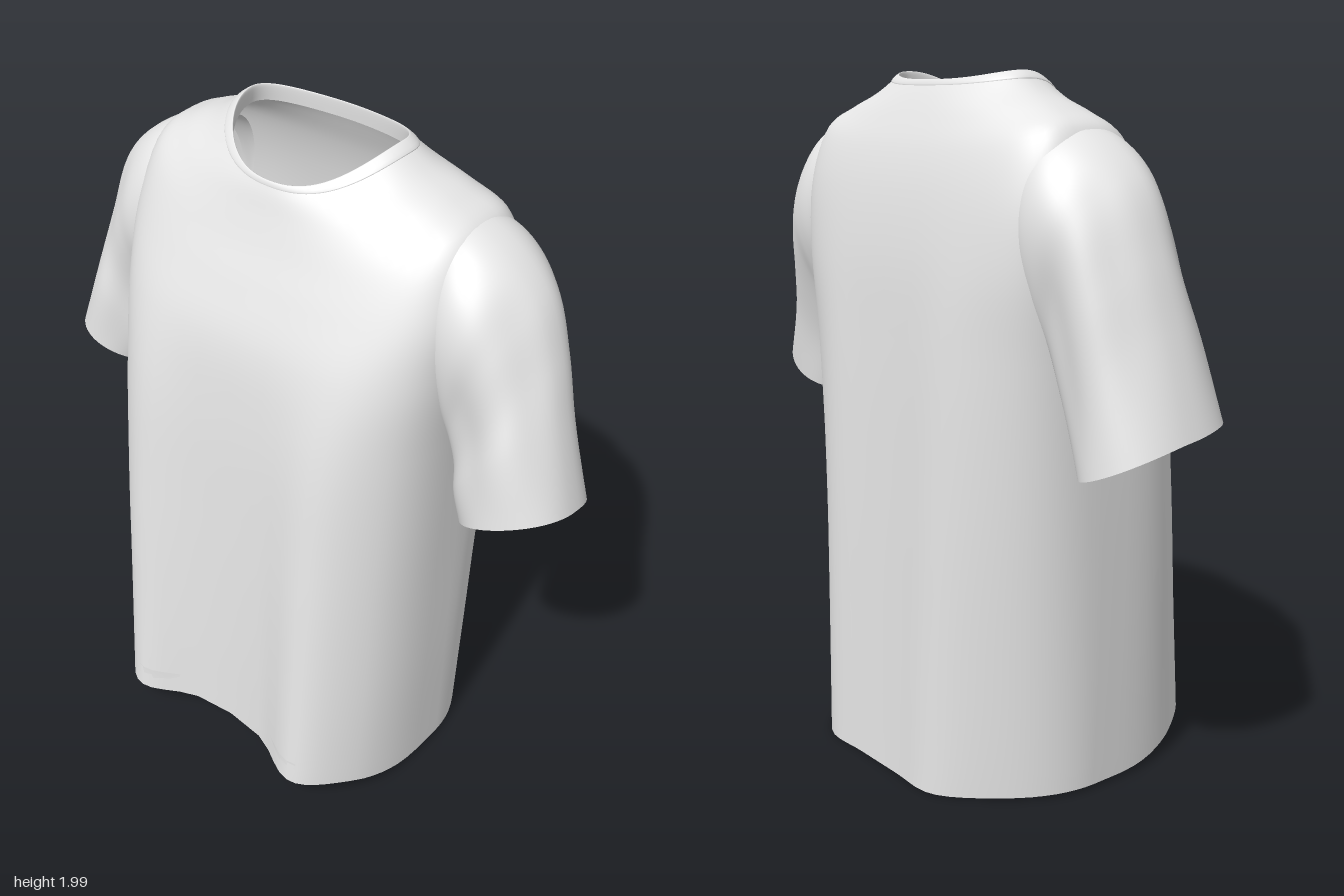
import * as THREE from 'three';

const COLUMNS = 80;
const fabric = new THREE.MeshStandardMaterial({ color: 0xe6e6e6, side: THREE.DoubleSide });
fabric.name = 'light grey fabric';

const signedPow = (v, e) => Math.sign(v) * Math.pow(Math.abs(v), e);
const bump = (v, centre, width) => Math.exp(-(((v - centre) / width) ** 2));

// A closed ring of points, from a rule of the angle
function ring(rule) {
  return Array.from({ length: COLUMNS }, (_, i) => rule((i / COLUMNS) * Math.PI * 2));
}

// Smooth rows running through the given rings
function smoothRows(rings, steps) {
  const count = (rings.length - 1) * steps;
  const columns = rings[0].map((_, i) =>
    new THREE.CatmullRomCurve3(rings.map((r) => r[i]), false, 'centripetal'));
  return Array.from({ length: count + 1 }, (_, j) => columns.map((c) => c.getPoint(j / count)));
}

// A skin over rows of points, leaving out quads where skip(centre) is true
function skin(name, rows, skip = () => false) {
  const index = [];
  for (let j = 0; j < rows.length - 1; j++) {
    for (let i = 0; i < COLUMNS; i++) {
      const k = (i + 1) % COLUMNS;
      const mid = rows[j][i].clone().add(rows[j + 1][k]).multiplyScalar(0.5);
      if (skip(mid)) continue;
      const a = j * COLUMNS + i, b = j * COLUMNS + k;
      index.push(a, a + COLUMNS, b, b, a + COLUMNS, b + COLUMNS);
    }
  }
  const geometry = new THREE.BufferGeometry().setFromPoints(rows.flat());
  geometry.setIndex(index);
  geometry.computeVertexNormals();
  const mesh = new THREE.Mesh(geometry, fabric);
  mesh.name = name;
  return mesh;
}

// A copy of a row scaled about its centre and raised
function resized(row, scale, rise = 0) {
  const centre = new THREE.Vector3();
  row.forEach((p) => centre.addScaledVector(p, 1 / row.length));
  return row.map((p) => {
    const q = p.clone().sub(centre).multiplyScalar(scale).add(centre);
    q.y += rise;
    return q;
  });
}

// Body levels: centre x, half width, side y z, front y z, back y z,
// front and back corner exponents, depth of the hanging folds
const BODY = [
  [-0.005, 0.520, 0.015, -0.06, 0.085, 0.36, 0.003, -0.445, 0.54, 1.00, 0.11],
  [-0.010, 0.530, 0.400, -0.06, 0.420, 0.35, 0.400, -0.435, 0.56, 0.90, 0.085],
  [-0.018, 0.538, 0.850, -0.07, 0.850, 0.33, 0.850, -0.423, 0.58, 0.77, 0.06],
  [-0.020, 0.547, 1.250, -0.09, 1.250, 0.303, 1.250, -0.410, 0.60, 0.64, 0.035],
  [-0.016, 0.562, 1.500, -0.11, 1.470, 0.272, 1.500, -0.398, 0.62, 0.56, 0.008],
  [-0.012, 0.565, 1.700, -0.12, 1.620, 0.215, 1.680, -0.372, 0.66, 0.56, 0],
  [-0.015, 0.520, 1.852, -0.13, 1.720, 0.170, 1.790, -0.342, 0.72, 0.62, 0],
  [-0.020, 0.435, 1.899, -0.13, 1.800, 0.138, 1.870, -0.308, 0.80, 0.72, 0],
  [-0.025, 0.340, 1.938, -0.13, 1.855, 0.118, 1.930, -0.278, 0.90, 0.85, 0],
  [-0.030, 0.258, 1.992, -0.13, 1.885, 0.104, 1.968, -0.256, 1.00, 0.95, 0],
];

function bodyRing([cx, width, sideY, sideZ, frontY, frontZ, backY, backZ, eF, eB, fold]) {
  return ring((t) => {
    const c = Math.cos(t), s = Math.sin(t), front = s >= 0;
    const e = front ? eF : eB;
    const x = width * signedPow(c, e);
    const w = Math.pow(Math.abs(c), 2.6 + 16 * fold);
    const y = sideY * w + (front ? frontY : backY) * (1 - w);
    let z = sideZ + ((front ? frontZ : backZ) - sideZ) * Math.pow(Math.abs(s), e);
    const lift = front ? bump(Math.abs(x), 0.33, 0.14) : -0.42 * bump(Math.abs(x), 0.26, 0.12);
    z += fold * lift * Math.min(1, Math.abs(s) * 2);
    return new THREE.Vector3(cx + x, y, z);
  });
}

// Sleeve rings from cuff to armhole: outer x y, inner x y,
// centre z, half depth, front-to-back tilt, fold depth
const SLEEVE = [
  [0.890, 1.165, 0.575, 1.010, -0.050, 0.180, 0.045, 0.000],
  [0.812, 1.400, 0.550, 1.090, -0.065, 0.178, 0.030, 0.006],
  [0.758, 1.560, 0.535, 1.160, -0.090, 0.178, 0.015, 0.008],
  [0.694, 1.705, 0.518, 1.230, -0.105, 0.195, 0.000, 0.008],
  [0.612, 1.800, 0.500, 1.290, -0.110, 0.215, 0.000, 0.003],
  [0.515, 1.856, 0.485, 1.340, -0.115, 0.212, 0.000, 0.000],
  [0.390, 1.875, 0.470, 1.400, -0.120, 0.170, 0.000, 0.000],
];

function sleeveRing([ox, oy, ix, iy, cz, depth, tilt, fold], side) {
  return ring((t) => {
    const c = Math.cos(t), s = Math.sin(t) * side;
    const pleat = 1 + (fold / depth) * Math.cos(5 * t + 0.6);
    const x = (ox + ix) / 2 + ((ox - ix) / 2) * c * pleat;
    const y = (oy + iy) / 2 + ((oy - iy) / 2) * c * pleat + tilt * s;
    return new THREE.Vector3(side * x, y, cz + depth * signedPow(s, 0.85) * pleat);
  });
}

// Change of each sleeve value at the right cuff, which hangs lower and further back
const RIGHT_HANG = [0.005, -0.07, 0.03, -0.015, -0.04, 0.028, 0, 0];

export function createModel() {
  const shirt = new THREE.Group();
  shirt.name = 'shirt';

  // Body, open at the hem, neck and armholes
  const body = smoothRows(BODY.map(bodyRing), 6);
  const inArmhole = (p) => Math.abs(p.x) > 0.48 &&
    ((p.y - 1.57) / 0.19) ** 2 + ((p.z + 0.12) / 0.14) ** 2 < 1;
  shirt.add(skin('body', body, inArmhole));

  // Turned-up hem inside the bottom edge
  shirt.add(skin('hemFacing', [resized(body[0], 0.985, 0.08), resized(body[0], 0.988), body[0]]));

  // Narrow collar band lying on the neck edge
  const neck = body[body.length - 1], base = body[body.length - 3];
  shirt.add(skin('collar', smoothRows([
    resized(base, 1.0, -0.002),
    resized(base, 1.0, 0.003),
    resized(neck, 1.006, 0.003),
    resized(neck, 0.99, 0.004),
    resized(neck, 0.985, -0.008),
    resized(neck, 1.0, -0.045),
  ], 3)));

  // Sleeves with turned cuffs
  for (const [name, side] of [['left', 1], ['right', -1]]) {
    const rings = SLEEVE.map((level, i) => {
      const hang = side < 0 ? Math.max(0, 1 - i / 3) : 0;
      return sleeveRing(level.map((v, n) => v + hang * RIGHT_HANG[n]), side);
    });
    const rows = smoothRows(rings, 6);
    shirt.add(skin(name + 'Sleeve', rows));
    shirt.add(skin(name + 'CuffFacing', [resized(rows[1], 0.95), resized(rows[0], 0.965), rows[0]]));
  }
  return shirt;
}
